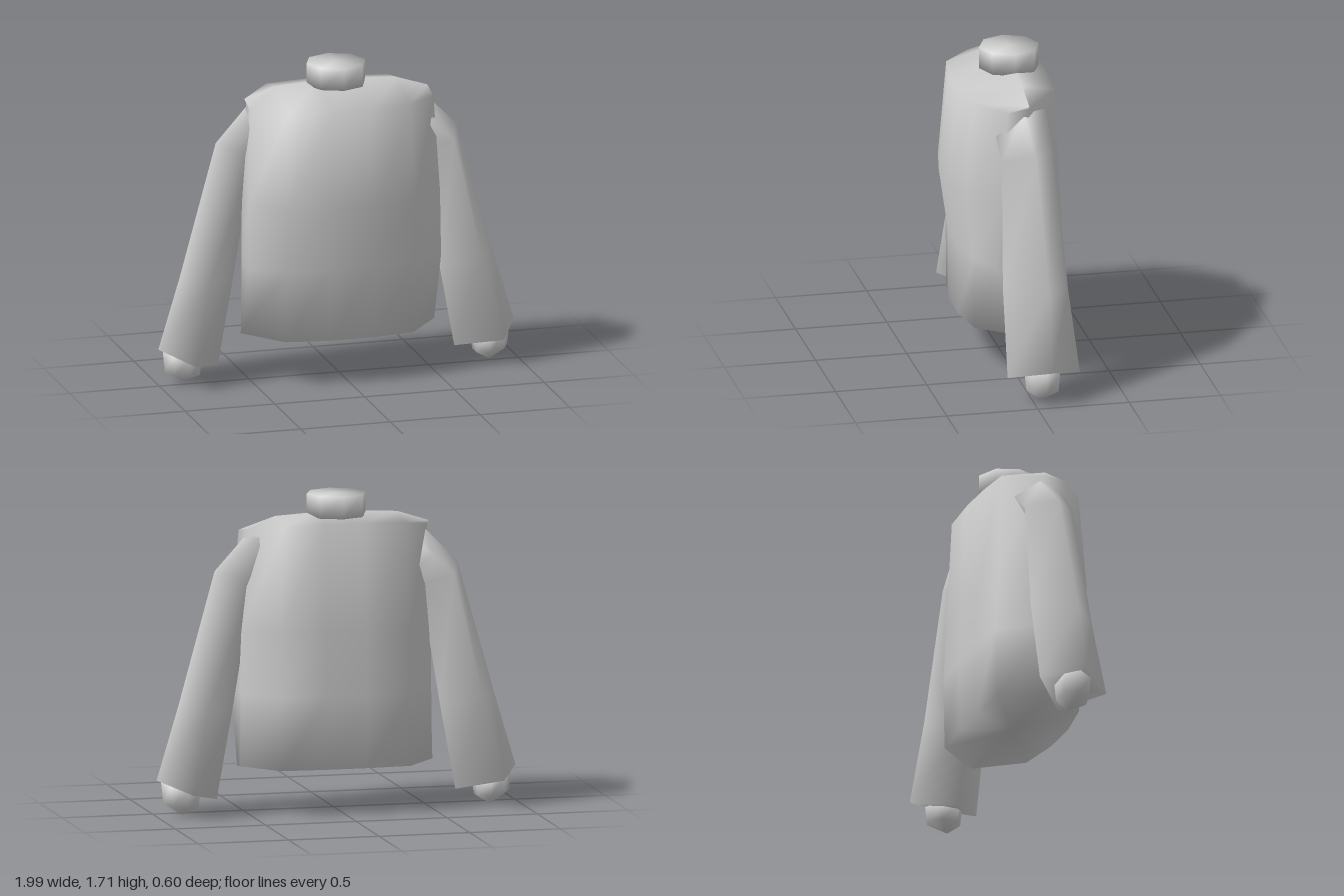
import * as THREE from 'three';
import { mergeVertices } from 'three/addons/utils/BufferGeometryUtils.js';

const material = new THREE.MeshStandardMaterial({ color: 0xcccccc });

// Closed smooth skin over rings of [x, y, z], listed bottom to top, each
// running from the front past +x to the back.
function loft(name, rings) {
  const n = rings[0].length, positions = rings.flat(2), index = [];
  for (let r = 0; r < rings.length - 1; r++) {
    for (let j = 0; j < n; j++) {
      const a = r * n + j, b = r * n + (j + 1) % n;
      index.push(a, b, b + n, a, b + n, a + n);
    }
  }
  // End caps fan out from a centre point.
  [0, rings.length - 1].forEach((r, top) => {
    const centre = positions.length / 3;
    for (let k = 0; k < 3; k++) positions.push(rings[r].reduce((s, p) => s + p[k], 0) / n);
    for (let j = 0; j < n; j++) {
      const a = r * n + j, b = r * n + (j + 1) % n;
      index.push(centre, top ? a : b, top ? b : a);
    }
  });
  const unwelded = new THREE.BufferGeometry();
  unwelded.setAttribute('position', new THREE.Float32BufferAttribute(positions, 3));
  unwelded.setIndex(index);
  // Welding lets a ring that closes to a line shade smoothly across it.
  const geometry = mergeVertices(unwelded);
  geometry.computeVertexNormals();
  const mesh = new THREE.Mesh(geometry, material);
  mesh.name = name;
  return mesh;
}

// Ring strung between an outer and an inner point [x, y], with depth radius rz.
function ovalRing(outer, inner, zc, rz, sides) {
  return Array.from({ length: sides }, (_, j) => {
    const a = (j / sides) * Math.PI * 2, t = (1 + Math.cos(a)) / 2;
    return [
      inner[0] + (outer[0] - inner[0]) * t,
      inner[1] + (outer[1] - inner[1]) * t,
      zc - rz * Math.sin(a),
    ];
  });
}

// Twelve-sided body section; side is the depth of the widest point.
function bodyRing(width, front, back, side, height) {
  const half = [
    [0.21, front], [0.66, 0.84 * front], [1, side],
    [0.98, -0.06], [0.66, 0.95 * back], [0.21, back],
  ].map(([u, z]) => [u * width, height(u, z), z]);
  return mirrored(half);
}

function mirrored(half) {
  return [...half, ...half.map(([x, y, z]) => [-x, y, z]).reverse()];
}

function createModel() {
  const model = new THREE.Group();
  model.name = 'jacketTorso';

  // Body: straight hem, fuller chest, shoulders closing to an arched ridge
  const ridge = [0.21, 0.66, 1, 1, 0.66, 0.21].map((u) => [u * 0.51, 1.62 - 0.07 * u ** 4, -0.06]);
  model.add(loft('body', [
    bodyRing(0.54, 0.245, -0.285, -0.03, () => 0.255),
    bodyRing(0.535, 0.25, -0.295, 0.12, () => 0.65),
    bodyRing(0.535, 0.3, -0.275, 0.1, () => 1.0),
    bodyRing(0.51, 0.25, -0.25, 0.06, (u, z) => 1.555 - 0.1 * z - 0.03 * u ** 4),
    mirrored(ridge),
  ]));

  // Neck stub
  model.add(loft('neck', [1.6, 1.72].map((y) => ovalRing([0.163, y], [-0.163, y], -0.06, 0.163, 8))));

  // Arm: four-sided flaring sleeve (front, outer, back, inner corners) and a rounded hand
  const leftArm = new THREE.Group();
  leftArm.name = 'leftArm';
  leftArm.add(loft('sleeve', [
    [[0.88, 0.15, 0.14], [0.997, 0.2, -0.08], [0.84, 0.14, -0.265], [0.66, 0.083, -0.06]],
    [[0.76, 0.62, 0.14], [0.88, 0.6, -0.09], [0.75, 0.58, -0.22], [0.57, 0.55, -0.04]],
    [[0.61, 1.28, 0.112], [0.672, 1.32, -0.06], [0.59, 1.3, -0.18], [0.46, 1.2, -0.03]],
    [[0.49, 1.385, 0.12], [0.49, 1.505, -0.03], [0.45, 1.51, -0.16], [0.4, 1.28, -0.03]],
  ]));
  leftArm.add(loft('hand', [
    ovalRing([0.86, 0.008], [0.84, 0.005], -0.045, 0.01, 7),
    ovalRing([0.955, 0.07], [0.762, 0.045], -0.06, 0.09, 7),
    ovalRing([0.968, 0.19], [0.75, 0.13], -0.06, 0.1, 7),
  ]));

  // The right arm is the left one turned half round about the body's upright axis
  const rightArm = leftArm.clone();
  rightArm.name = 'rightArm';
  rightArm.rotation.y = Math.PI;
  rightArm.position.z = -0.11;
  model.add(leftArm, rightArm);
  return model;
}

export { createModel };
